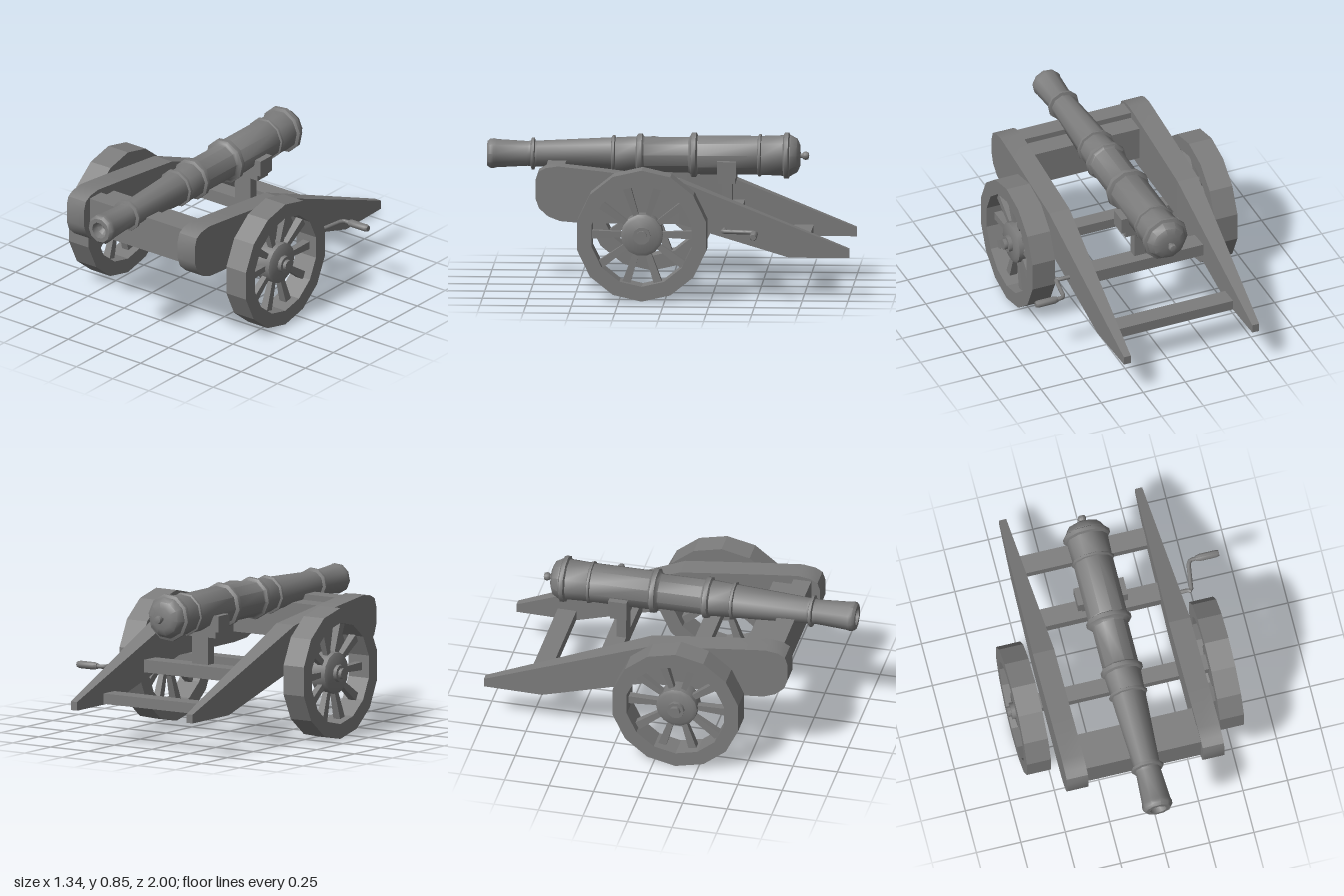
import * as THREE from 'three';
import { toCreasedNormals } from 'three/addons/utils/BufferGeometryUtils.js';

const CX = -0.0375; // centre plane of the carriage
const mat = new THREE.MeshStandardMaterial({ color: 0x7c7c7c });

// Mesh with smooth normals, kept sharp at edges above the crease angle
function add(parent, name, geo, [x, y, z] = [0, 0, 0], crease = 0.7) {
  const m = new THREE.Mesh(toCreasedNormals(geo, crease), mat);
  m.name = name;
  m.position.set(x, y, z);
  parent.add(m);
}

// Box given by its limits on each axis
function block(parent, name, [x0, x1], [y0, y1], [z0, z1]) {
  add(parent, name, new THREE.BoxGeometry(x1 - x0, y1 - y0, z1 - z0),
    [(x0 + x1) / 2, (y0 + y1) / 2, (z0 + z1) / 2]);
}

const lathe = (pts, n) => new THREE.LatheGeometry(pts.map(p => new THREE.Vector2(...p)), n);

// Barrel: [radius, z] from the rear button to the bottom of the bore
function makeBarrel() {
  const ring = (z, base, r, w) => [[base, z - w], [r, z - w * 0.6], [r, z + w * 0.6], [base, z + w]];
  const profile = [
    [0, -0.76], [0.02, -0.755], [0.024, -0.74], [0.02, -0.728], [0.013, -0.722], [0.013, -0.712],
    [0.06, -0.71], [0.095, -0.695], [0.115, -0.66],
    ...ring(-0.637, 0.115, 0.131, 0.018),
    ...ring(-0.49, 0.11, 0.119, 0.01),
    [0.11, -0.155],
    ...ring(-0.13, 0.108, 0.126, 0.02),
    [0.1, -0.1], [0.1, 0.14],
    ...ring(0.165, 0.102, 0.117, 0.02),
    ...ring(0.31, 0.095, 0.107, 0.011),
    [0.073, 0.725],
    ...ring(0.75, 0.073, 0.09, 0.012),
    [0.07, 0.78], [0.08, 0.95], [0.084, 0.965], [0.083, 0.985], [0.07, 1],
    [0.047, 1], [0.042, 0.96], [0.02, 0.94], [0.02, 0.85], [0, 0.85],
  ];
  return lathe(profile, 10).rotateX(Math.PI / 2).rotateZ(-0.21);
}

// Side cheek: body and tail outlines in (z, y); the tail narrows to the rear
function makeCheek(parent, name, x) {
  const g = new THREE.Group();
  g.name = name;
  const body = [[-0.07, 0.405], [0.46, 0.405], [0.58, 0.415], [0.645, 0.44], [0.695, 0.485], [0.715, 0.54],
    [0.715, 0.64], [0.70, 0.685], [0.66, 0.707], [0.59, 0.717], [0.36, 0.692], [-0.07, 0.64]];
  const tail = [[-1, 0.217], [-0.67, 0.22], [-0.07, 0.405], [-0.07, 0.64], [-1, 0.265]];
  for (const [part, pts] of [['cheekBody', body], ['cheekTail', tail]]) {
    const shape = new THREE.Shape(pts.map(p => new THREE.Vector2(...p)));
    const geo = new THREE.ExtrudeGeometry(shape, { depth: 0.12, bevelEnabled: false });
    geo.translate(0, 0, -0.06).rotateY(-Math.PI / 2);
    const pos = geo.attributes.position;
    for (let i = 0; i < pos.count; i++) {
      const t = Math.max(0, (-0.07 - pos.getZ(i)) / 0.93);
      pos.setX(i, pos.getX(i) * (1 - t * 0.66));
    }
    add(g, part, geo);
  }
  g.position.x = x;
  parent.add(g);
}

// Wheel around the x axis, outer side toward `side`
function makeWheel(parent, name, side) {
  const segments = 14, spokes = 10, w = 0.0675;
  const g = new THREE.Group();
  g.name = name;
  const rim = lathe([[0.28, -w], [0.362, -w], [0.362, w], [0.28, w], [0.28, -w]], segments);
  add(g, 'rim', rim.rotateZ(Math.PI / 2).rotateX(Math.PI / segments), [0, 0, 0], 0.3);
  const hub = lathe([[0, -0.05], [0.115, -0.05], [0.115, 0.04], [0.095, 0.05], [0, 0.05]], 14);
  add(g, 'hub', hub.rotateZ(-side * Math.PI / 2));
  for (let i = 0; i < spokes; i++) {
    // Spokes flare toward the rim
    const spoke = new THREE.CylinderGeometry(0.033, 0.021, 0.2, 4, 1).rotateY(Math.PI / 4);
    spoke.translate(0, 0.195, 0).rotateX(Math.PI / 2 + i * 2 * Math.PI / spokes);
    add(g, 'spoke', spoke);
  }
  const cap = lathe([[0, 0], [0.048, 0], [0.048, 0.072], [0.03, 0.072], [0.03, 0.092], [0, 0.092]], 10);
  add(g, 'axleCap', cap.rotateZ(-side * Math.PI / 2));
  g.position.set(CX + side * 0.543, 0.362, 0.125);
  parent.add(g);
}

export function createModel() {
  const root = new THREE.Group();
  root.name = 'cannon';

  add(root, 'barrel', makeBarrel(), [CX, 0.718, 0]);

  // Barrel support
  block(root, 'cradle', [CX - 0.14, CX + 0.14], [0.61, 0.7], [-0.365, -0.262]);
  block(root, 'cradleBase', [CX - 0.115, CX + 0.115], [0.575, 0.61], [-0.36, -0.268]);
  block(root, 'supportPost', [CX - 0.053, CX + 0.053], [0.4, 0.6], [-0.34, -0.285]);

  // Carriage
  for (const side of [-1, 1]) {
    makeCheek(root, side > 0 ? 'leftCheek' : 'rightCheek', CX + side * 0.3825);
    makeWheel(root, side > 0 ? 'leftWheel' : 'rightWheel', side);
  }
  const span = [CX - 0.35, CX + 0.35];
  block(root, 'frontBoard', span, [0.49, 0.692], [0.565, 0.665]);
  block(root, 'frontBeam', span, [0.465, 0.66], [0.45, 0.565]);
  block(root, 'middleBeam', span, [0.35, 0.42], [-0.39, -0.285]);
  block(root, 'rearBeam', span, [0.225, 0.282], [-0.765, -0.66]);
  block(root, 'axle', [CX - 0.53, CX + 0.53], [0.337, 0.392], [0.07, 0.158]);

  // Elevating crank on the left cheek
  const path = new THREE.CurvePath();
  const pts = [[0.36, -0.32], [0.455, -0.32], [0.472, -0.31], [0.495, -0.47], [0.51, -0.488], [0.55, -0.49]]
    .map(([x, z]) => new THREE.Vector3(x, 0.375, z));
  for (let i = 1; i < pts.length; i++) path.add(new THREE.LineCurve3(pts[i - 1], pts[i]));
  add(root, 'crankRod', new THREE.TubeGeometry(path, 24, 0.012, 10), [0, 0, 0], 0.9);
  const handle = lathe([[0, -0.065], [0.016, -0.065], [0.021, -0.045], [0.021, 0.05], [0.016, 0.065], [0, 0.065]], 10);
  add(root, 'crankHandle', handle.rotateZ(-Math.PI / 2), [0.605, 0.375, -0.49]);
  return root;
}
